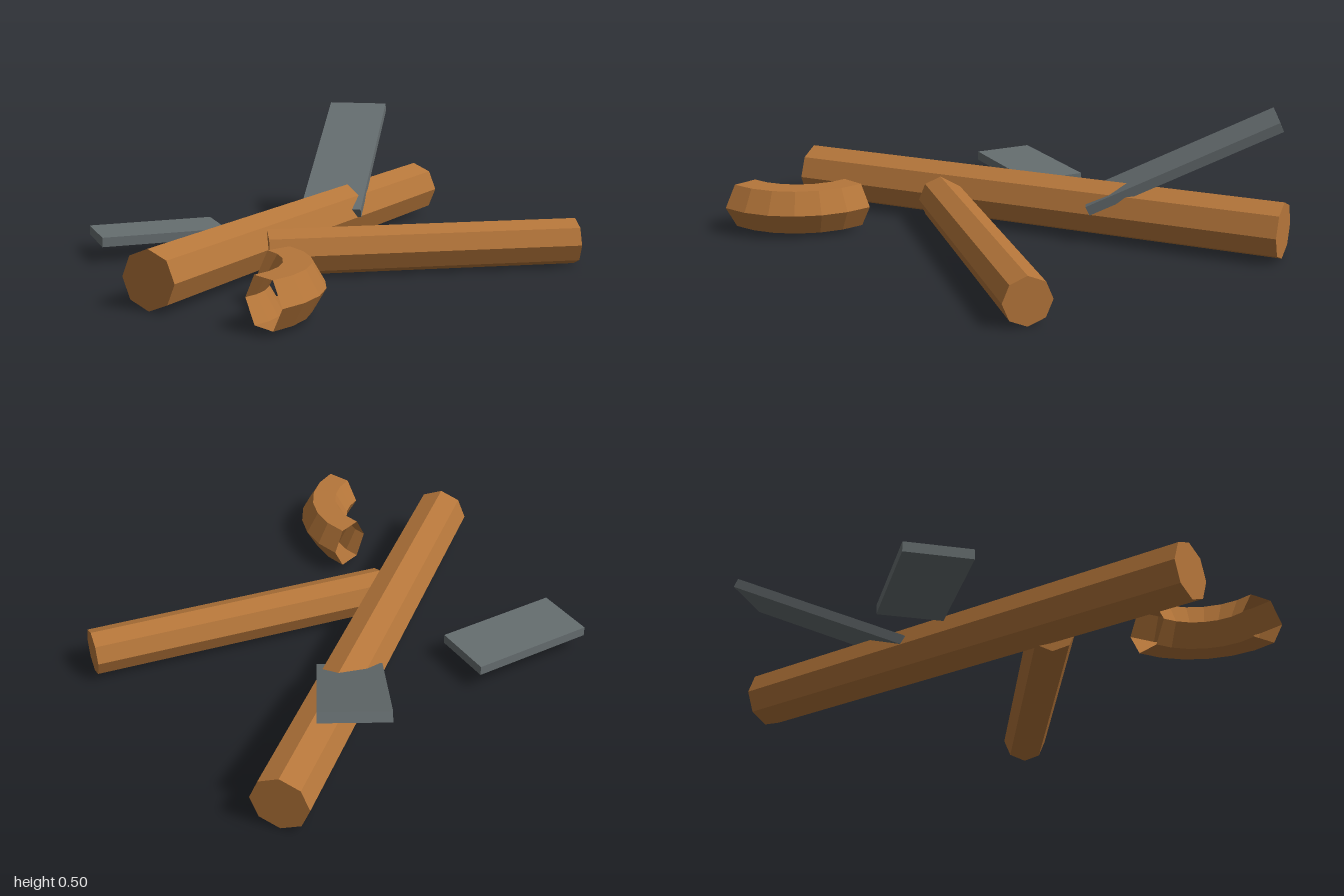
import * as THREE from 'three';

const deg = THREE.MathUtils.degToRad;

export function createModel() {
  const group = new THREE.Group();
  const copper = new THREE.MeshStandardMaterial({ color: 0xb5763a, flatShading: true });
  copper.name = 'copper brown';
  const copperOpen = copper.clone();
  copperOpen.side = THREE.DoubleSide;
  const steel = new THREE.MeshStandardMaterial({ color: 0x666e70, flatShading: true });
  steel.name = 'steel grey';

  // Adds a part; heading turns it about y, tilt raises its +x end
  function add(name, geometry, material, [x, y, z], heading = 0, tilt = 0) {
    const mesh = new THREE.Mesh(geometry, material);
    mesh.name = name;
    mesh.position.set(x, y, z);
    mesh.rotation.set(0, deg(heading), deg(tilt), 'YZX');
    group.add(mesh);
  }

  // Eight-sided rod lying along x, with a corner line on top
  const rod = (radius, length) =>
    new THREE.CylinderGeometry(radius, radius, length, 8).rotateZ(Math.PI / 2);

  // Straight pipes resting on the ground
  add('longPipe', rod(0.112, 2.045), copper, [0, 0.112, -0.14], 20);
  add('shortPipe', rod(0.091, 1.222), copper, [0.2, 0.091, 0.372], -30);

  // Open quarter bend
  const bend = new THREE.TorusGeometry(0.305, 0.1, 6, 6, Math.PI / 2).rotateX(Math.PI / 2);
  add('pipeElbow', bend, copperOpen, [-0.82, 0.103, 0.375]);

  // Sheet metal: one level piece, one leaning on the long pipe
  add('flatPlate', new THREE.BoxGeometry(0.51, 0.038, 0.25), steel, [-0.412, 0.082, -0.549], -20);
  add('leaningPlate', new THREE.BoxGeometry(0.813, 0.038, 0.253), steel, [0.508, 0.306, -0.447], 39.8, 25.5);

  return group;
}
